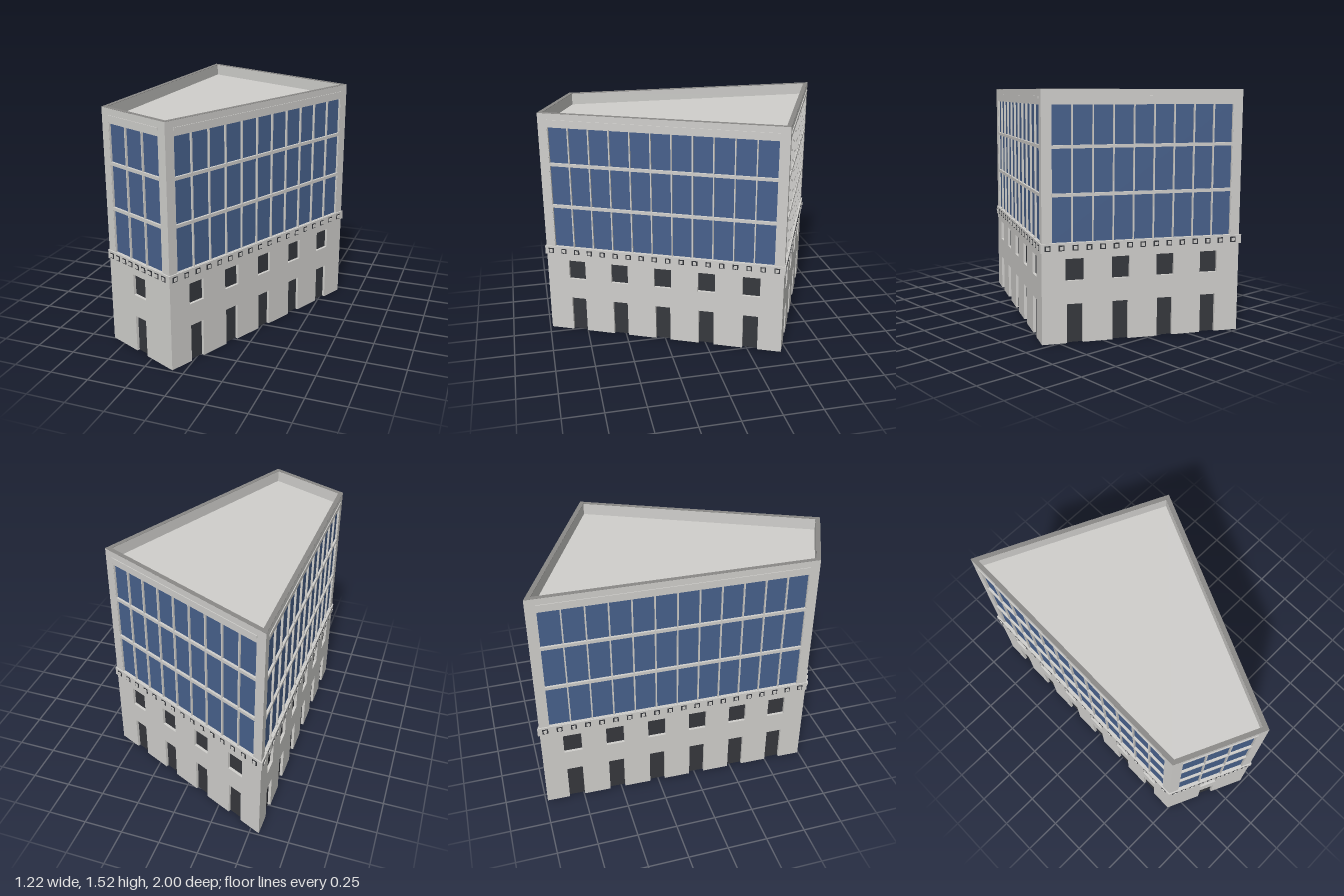
import * as THREE from 'three';

const mat = (name, color, side = THREE.FrontSide) => {
  const m = new THREE.MeshStandardMaterial({ color, side });
  m.name = name;
  return m;
};

// Plan corners [x, z], in order around the building as seen walking to the right of each facade
const corners = [[-0.595, 0.745], [-0.075, 0.985], [0.597, -0.455], [-0.558, -0.988]]
  .map(([x, z]) => new THREE.Vector2(x, z));
const facades = [
  { name: 'front', doors: 1, panes: 3, blocks: 9 },
  { name: 'left', doors: 5, panes: 11, blocks: 18 },
  { name: 'back', doors: 4, panes: 9, blocks: 15 },
  { name: 'right', doors: 6, panes: 12, blocks: 20 },
];
const H = 1.52, MARGIN = 0.06, DEPTH = 0.018;
const GLASS_BOTTOM = 0.618, GLASS_TOP = 1.437;
const at = (i) => corners[(i + 4) % 4];
const dirOf = (i) => at(i + 1).clone().sub(at(i)).normalize();

// Interior angle at a corner
const angleAt = (i) => Math.PI - Math.acos(dirOf(i - 1).dot(dirOf(i)));

// Plan outline moved inwards by d (outwards if negative)
function inset(d) {
  return corners.map((p, i) => {
    const a = dirOf(i - 1), b = dirOf(i);
    const bis = b.clone().sub(a).normalize();
    const q = p.clone().addScaledVector(bis, d / Math.sin(angleAt(i) / 2));
    return new THREE.Vector2(q.x, -q.y);
  });
}

// Horizontal slab, or ring when an inner inset is given
function planSolid(outer, inner, y0, y1) {
  const shape = new THREE.Shape(inset(outer));
  if (inner !== null) shape.holes.push(new THREE.Path(inset(inner)));
  const g = new THREE.ExtrudeGeometry(shape, { depth: y1 - y0, bevelEnabled: false });
  return g.rotateX(-Math.PI / 2).translate(0, y0, 0);
}

const rectPath = (x0, y0, x1, y1) => new THREE.Path(
  [[x0, y0], [x0, y1], [x1, y1], [x1, y0]].map((p) => new THREE.Vector2(...p)));

export function createModel() {
  const stone = mat('pale stone', 0xd0cfcc, THREE.DoubleSide);
  const glass = mat('blue glass', 0x48618c, THREE.DoubleSide);
  const dark = mat('dark panes', 0x36383d, THREE.DoubleSide);
  const coping = mat('grey coping', 0x8a8987);
  const model = new THREE.Group();
  model.name = 'building';

  const add = (parent, name, geometry, material) => {
    const m = new THREE.Mesh(geometry, material);
    m.name = name;
    parent.add(m);
    return m;
  };
  const box = (parent, name, material, x0, x1, y0, y1, z0, z1) =>
    add(parent, name, new THREE.BoxGeometry(x1 - x0, y1 - y0, z1 - z0)
      .translate((x0 + x1) / 2, (y0 + y1) / 2, (z0 + z1) / 2), material);
  const pane = (parent, name, material, x0, x1, y0, y1, z) =>
    add(parent, name, new THREE.PlaneGeometry(x1 - x0, y1 - y0)
      .translate((x0 + x1) / 2, (y0 + y1) / 2, z), material);

  facades.forEach((f, i) => {
    const L = at(i).distanceTo(at(i + 1)), d = dirOf(i);
    const wall = new THREE.Group();
    wall.name = f.name + 'Facade';
    wall.position.set(at(i).x, 0, at(i).y);
    wall.rotation.y = Math.atan2(-d.y, d.x);
    model.add(wall);

    // Wall sheet with door notches, window holes and the large glazed opening
    const g0 = MARGIN, g1 = L - MARGIN, bay = (g1 - g0) / f.doors;
    const shape = new THREE.Shape();
    shape.moveTo(0, 0);
    for (let k = 0; k < f.doors; k++) {
      const c = g0 + bay * (k + 0.5);
      shape.lineTo(c - 0.05, 0);
      shape.lineTo(c - 0.05, 0.242);
      shape.lineTo(c + 0.05, 0.242);
      shape.lineTo(c + 0.05, 0);
      shape.holes.push(rectPath(c - 0.057, 0.385, c + 0.057, 0.519));
      pane(wall, 'door', dark, c - 0.05, c + 0.05, 0, 0.242, -DEPTH);
      pane(wall, 'window', dark, c - 0.057, c + 0.057, 0.385, 0.519, -DEPTH);
    }
    shape.lineTo(L, 0);
    shape.lineTo(L, H);
    shape.lineTo(0, H);
    shape.holes.push(rectPath(g0, GLASS_BOTTOM, g1, GLASS_TOP));
    const sheet = new THREE.ExtrudeGeometry(shape, { depth: DEPTH, bevelEnabled: false }).translate(0, 0, -DEPTH);

    // Mitre the inner edges at both corners
    const p = sheet.attributes.position;
    for (let v = 0; v < p.count; v++) {
      if (p.getZ(v) > -DEPTH / 2) continue;
      if (p.getX(v) < 1e-4) p.setX(v, DEPTH / Math.tan(angleAt(i) / 2));
      else if (p.getX(v) > L - 1e-4) p.setX(v, L - DEPTH / Math.tan(angleAt(i + 1) / 2));
    }
    sheet.computeVertexNormals();
    add(wall, 'wall', sheet, stone);

    // Glazing with mullions and floor bars
    pane(wall, 'glazing', glass, g0, g1, GLASS_BOTTOM, GLASS_TOP, -0.014);
    for (let k = 0; k <= f.panes; k++) {
      const c = g0 + ((g1 - g0) * k) / f.panes;
      box(wall, 'mullion', stone, c - 0.004, c + 0.004, GLASS_BOTTOM, GLASS_TOP, -0.0135, -0.001);
    }
    for (const y of [0.902, 1.186])
      box(wall, 'floorBar', stone, g0, g1, y - 0.01, y + 0.01, -0.0135, 0.001);

    // Raised strip above the glazing
    box(wall, 'topStrip', stone, g0, g1, 1.464, 1.48, -0.005, 0.005);

    // Dark squares with a small projecting block along the belt
    for (let k = 0; k < f.blocks; k++) {
      const c = 0.035 + ((L - 0.08) * k) / (f.blocks - 1);
      box(wall, 'beltSquare', dark, c - 0.018, c + 0.018, 0.57, 0.604, 0.006, 0.0095);
      box(wall, 'beltBlock', stone, c - 0.01, c + 0.01, 0.577, 0.597, 0.006, 0.015);
    }
  });

  // Belt course, parapet, coping and roof
  add(model, 'belt', planSolid(-0.008, 0.004, 0.56, 0.617), stone);
  add(model, 'parapet', planSolid(0.002, 0.028, 1.43, H - 0.001), stone);
  add(model, 'coping', planSolid(0, 0.028, H - 0.001, H + 0.001), coping);
  add(model, 'roof', planSolid(0.01, null, 1.438, 1.445), stone);
  return model;
}
